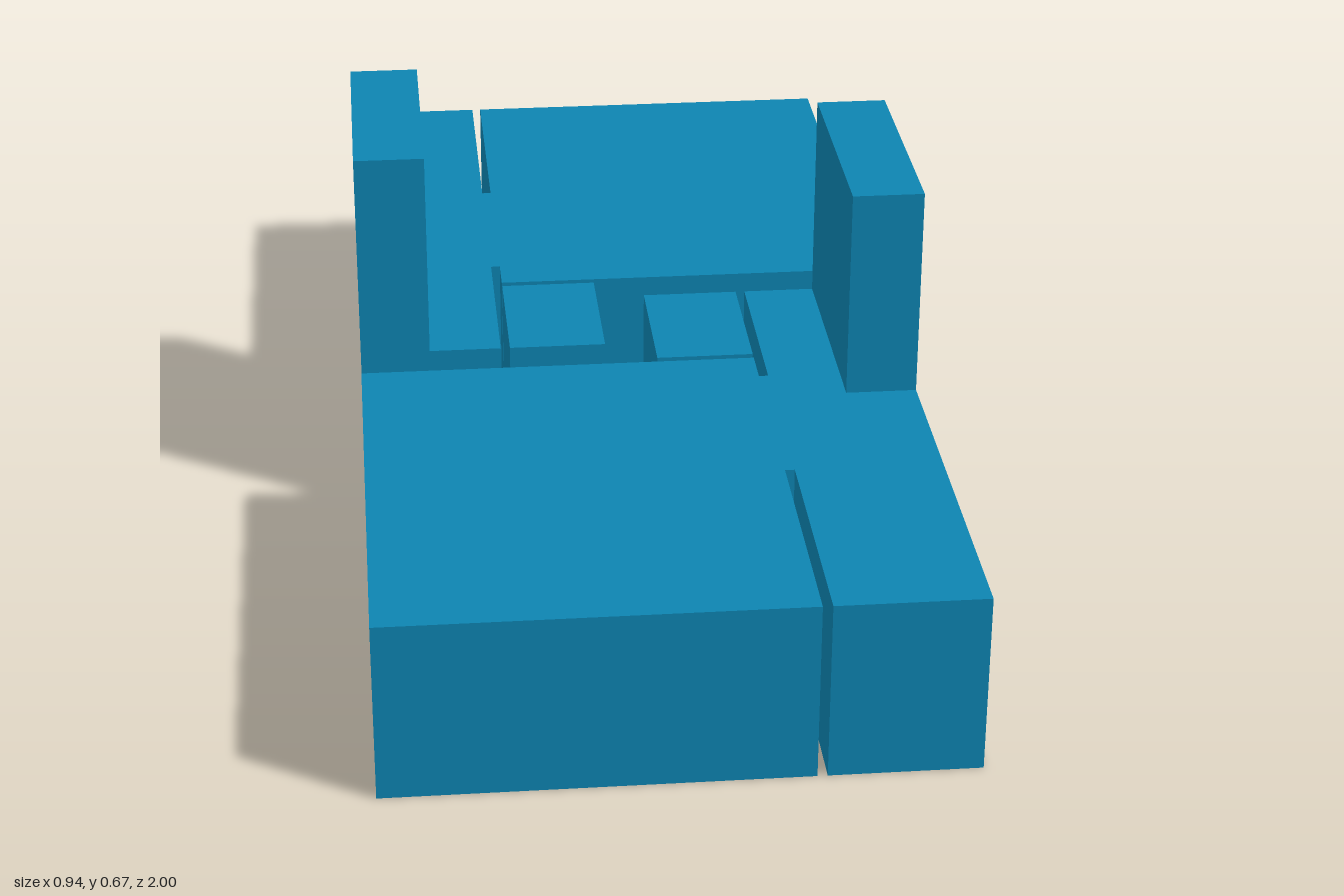
import * as THREE from 'three';

const BLUE = new THREE.MeshStandardMaterial({ color: 0x0d84b1, flatShading: true });
const HEIGHT = 0.305;
const WALL_TOP = 0.67;

// Upright prism from a floor outline of [x, z] points.
function prism(name, outline, y0, y1) {
  const shape = new THREE.Shape(outline.map(([x, z]) => new THREE.Vector2(x, z)));
  const geometry = new THREE.ExtrudeGeometry(shape, { depth: y1 - y0, bevelEnabled: false });
  geometry.rotateX(Math.PI / 2).translate(0, y1, 0);
  const mesh = new THREE.Mesh(geometry, BLUE);
  mesh.name = name;
  return mesh;
}

const rect = (x0, x1, z0, z1) => [[x0, z0], [x1, z0], [x1, z1], [x0, z1]];

function createHalf(name) {
  const half = new THREE.Group();
  half.name = name;

  // Slab with a long side arm, split by a slot from either end
  half.add(prism('slottedBase', [
    [-0.47, 1], [0.21, 1], [0.21, 0.575], [0.226, 0.575], [0.226, 1], [0.47, 1],
    [0.47, -0.095], [0.226, -0.095], [0.226, 0.24], [0.21, 0.24], [0.21, 0.17], [-0.47, 0.17],
  ], 0, HEIGHT));

  // Upright wall on the end of the arm
  half.add(prism('sideWall', rect(0.35, 0.47, -0.095, 0.315), HEIGHT, WALL_TOP));

  // Loose block beside the arm
  half.add(prism('innerBlock', rect(0.043, 0.21, -0.095, 0.156), 0, HEIGHT));
  return half;
}

export function createModel() {
  const model = new THREE.Group();
  model.name = 'interlockingBlocks';
  const front = createHalf('frontHalf');
  // The back half is the same piece turned half way round
  const back = createHalf('backHalf');
  back.rotation.y = Math.PI;
  model.add(front, back);
  return model;
}
